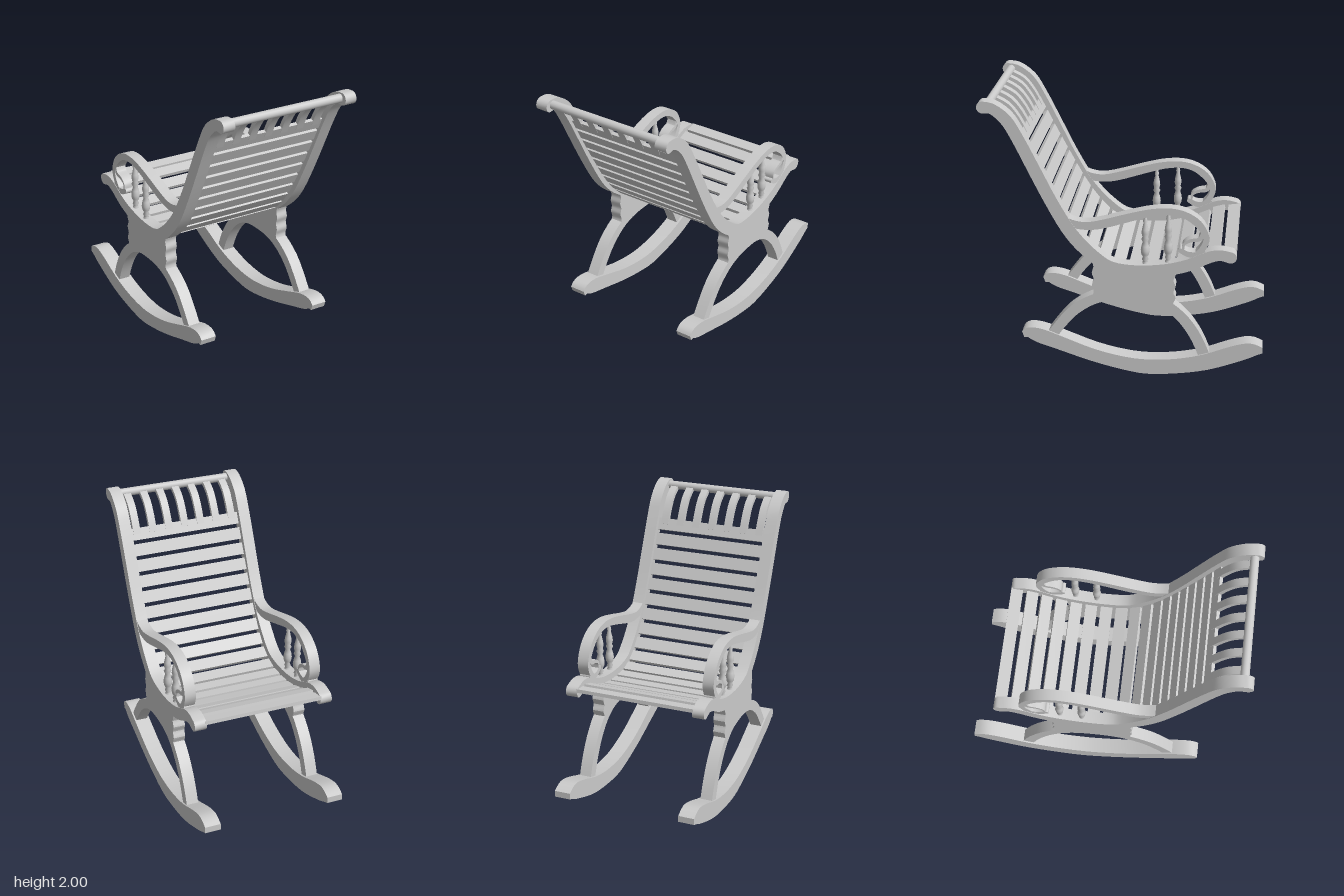
import * as THREE from 'three';
import { toCreasedNormals } from 'three/addons/utils/BufferGeometryUtils.js';

const material = new THREE.MeshStandardMaterial({ color: 0xcccccc });

// Smooth line through [z, y, thickness] points
const spline = (pts) => new THREE.CatmullRomCurve3(pts.map(([z, y, t]) => new THREE.Vector3(z, y, t)));

// Side outline extruded across, centred on x
function extrude(name, outline, x, width) {
  let geo = new THREE.ExtrudeGeometry(new THREE.Shape(outline), { depth: width, bevelEnabled: false });
  geo.rotateY(-Math.PI / 2).translate(x + width / 2, 0, 0);
  geo = toCreasedNormals(geo, 0.5);
  const mesh = new THREE.Mesh(geo, material);
  mesh.name = name;
  return mesh;
}

// Outline of a strip of varying thickness along a smooth line, with round ends if wanted
function band(pts, round = false) {
  const curve = spline(pts), n = (pts.length - 1) * 3;
  const upper = [], lower = [], startCap = [], endCap = [];
  for (let i = 0; i <= n; i++) {
    const p = curve.getPoint(i / n);
    const d = curve.getTangent(i / n).setZ(0).normalize();
    const offset = (angle) => new THREE.Vector2(
      p.x + (p.z / 2) * (d.x * Math.sin(angle) - d.y * Math.cos(angle)),
      p.y + (p.z / 2) * (d.y * Math.sin(angle) + d.x * Math.cos(angle)),
    );
    upper.push(offset(0));
    lower.unshift(offset(Math.PI));
    for (let k = 1; round && k < 8; k++) {
      if (i === n) endCap.push(offset((k * Math.PI) / 8));
      if (i === 0) startCap.push(offset(Math.PI + (k * Math.PI) / 8));
    }
  }
  return [...upper, ...endCap, ...lower, ...startCap];
}

// Panel under the seat with wavy front and rear edges
function panelOutline() {
  const front = [], rear = [];
  for (let i = 0; i <= 18; i++) {
    const wave = 0.008 * Math.cos((i / 18) * Math.PI * 6);
    front.push(new THREE.Vector2(-0.355 + wave, 0.83 - 0.27 * (i / 18)));
    rear.push(new THREE.Vector2(0.219 + wave * 0.8, 0.58 + 0.29 * (i / 18)));
  }
  return [...front, new THREE.Vector2(-0.07, 0.605), ...rear, new THREE.Vector2(-0.08, 0.8)];
}

const ROCKER = [
  [0.724, 0.27, 0.045], [0.68, 0.285, 0.085], [0.6, 0.264, 0.115], [0.46, 0.215, 0.11], [0.22, 0.13, 0.1],
  [0, 0.077, 0.105], [-0.16, 0.058, 0.116], [-0.37, 0.073, 0.116], [-0.58, 0.116, 0.125],
  [-0.8, 0.198, 0.13], [-0.9, 0.23, 0.11], [-0.982, 0.232, 0.045],
];
const POST_AND_RAIL = [
  [0.952, 1.957, 0.085], [0.893, 1.952, 0.077], [0.8, 1.88, 0.085], [0.735, 1.775, 0.086], [0.61, 1.52, 0.09],
  [0.505, 1.305, 0.09], [0.39, 1.1, 0.095], [0.305, 0.99, 0.097], [0.21, 0.9, 0.092], [0.1, 0.825, 0.09],
  [-0.08, 0.8, 0.09], [-0.3, 0.82, 0.09], [-0.45, 0.862, 0.09], [-0.6, 0.932, 0.085], [-0.67, 0.946, 0.08],
  [-0.74, 0.931, 0.084],
];
const LEG_ARCH = [
  [0.53, 0.25, 0.075], [0.45, 0.365, 0.075], [0.345, 0.485, 0.078], [0.21, 0.57, 0.075], [0.08, 0.605, 0.075],
  [-0.07, 0.609, 0.075], [-0.2, 0.592, 0.075], [-0.32, 0.535, 0.075], [-0.43, 0.432, 0.078],
  [-0.515, 0.3, 0.08], [-0.578, 0.15, 0.08],
];
const ARM = [
  [0.41, 1.155, 0.06], [0.34, 1.133, 0.058], [0.26, 1.125, 0.058], [0.17, 1.138, 0.064], [-0.07, 1.21, 0.06],
  [-0.2, 1.244, 0.054], [-0.32, 1.255, 0.05], [-0.42, 1.235, 0.05], [-0.51, 1.175, 0.055], [-0.56, 1.1, 0.045],
  [-0.569, 1.05, 0.042], [-0.545, 0.99, 0.042], [-0.495, 0.925, 0.05],
];
const CURL = [[-0.545, 0.965, 0.04], [-0.5, 0.94, 0.045], [-0.44, 0.945, 0.04], [-0.395, 0.968, 0.035]];
const LEAF = [
  [-0.55, 1.11, 0.03], [-0.525, 1.06, 0.03], [-0.46, 1.045, 0.024], [-0.415, 1.015, 0.018], [-0.41, 0.975, 0.016],
];
const BACK_SPINDLE = [[0.71, 1.71, 0.03], [0.76, 1.81, 0.03], [0.83, 1.9, 0.03], [0.93, 1.955, 0.03]];

// Line followed by the slats, from the top of the back to the seat front
const SLAT_LINE = [
  [0.71, 1.71, 0], [0.6, 1.49, 0], [0.5, 1.3, 0], [0.4, 1.12, 0], [0.3, 0.975, 0], [0.18, 0.855, 0],
  [0.05, 0.795, 0], [-0.12, 0.783, 0], [-0.3, 0.805, 0], [-0.5, 0.872, 0], [-0.62, 0.928, 0], [-0.735, 0.945, 0],
];

// Turned profile: [radius, fraction of height]
const TURNING = [
  [0.02, 0], [0.02, 0.04], [0.014, 0.06], [0.023, 0.1], [0.016, 0.15], [0.027, 0.21], [0.031, 0.29],
  [0.026, 0.38], [0.017, 0.46], [0.027, 0.52], [0.019, 0.56], [0.026, 0.64], [0.023, 0.72], [0.012, 0.85],
  [0.016, 0.88], [0.007, 1],
];

function armSpindle(x, z, y0, y1) {
  const pts = TURNING.map(([r, t]) => new THREE.Vector2(r, y0 + (y1 - y0) * t));
  const mesh = new THREE.Mesh(new THREE.LatheGeometry(pts, 16), material);
  mesh.position.set(x, 0, z);
  mesh.name = 'armSpindle';
  return mesh;
}

export function createModel() {
  const model = new THREE.Group();

  // Two mirrored sides
  for (const s of [1, -1]) {
    const side = new THREE.Group();
    side.name = s > 0 ? 'leftSide' : 'rightSide';
    const x = s * 0.466;
    side.add(
      extrude('rocker', band(ROCKER), s * 0.463, 0.115),
      extrude('backPostAndSeatRail', band(POST_AND_RAIL, true), x, 0.086),
      extrude('sidePanel', panelOutline(), x, 0.086),
      extrude('legArch', band(LEG_ARCH), x, 0.086),
      extrude('armRest', band(ARM), x, 0.08),
      extrude('armCurl', band(CURL, true), x, 0.078),
      extrude('armLeaf', band(LEAF), x, 0.076),
      armSpindle(x, -0.145, 0.84, 1.205),
      armSpindle(x, -0.305, 0.86, 1.235),
    );
    model.add(side);
  }

  // Slats spaced evenly over the back and seat
  const slats = new THREE.Group();
  slats.name = 'slats';
  const line = spline(SLAT_LINE);
  const slatGeo = new THREE.BoxGeometry(0.86, 0.088, 0.025);
  const count = 18;
  for (let i = 0; i < count; i++) {
    const p = line.getPointAt(i / (count - 1)), t = line.getTangentAt(i / (count - 1));
    const slat = new THREE.Mesh(slatGeo, material);
    slat.position.set(0, p.y, p.x);
    slat.rotation.x = Math.atan2(t.x, t.y);
    slat.name = 'slat';
    slats.add(slat);
  }
  model.add(slats);

  // Curved spindles under the top bar
  for (let i = -3; i <= 3; i++) {
    model.add(extrude('backSpindle', band(BACK_SPINDLE), i * 0.125, 0.055));
  }

  const topBar = new THREE.Mesh(new THREE.CylinderGeometry(0.03, 0.03, 0.87, 16), material);
  topBar.rotation.z = Math.PI / 2;
  topBar.position.set(0, 1.958, 0.93);
  topBar.name = 'topBar';
  model.add(topBar);

  return model;
}
